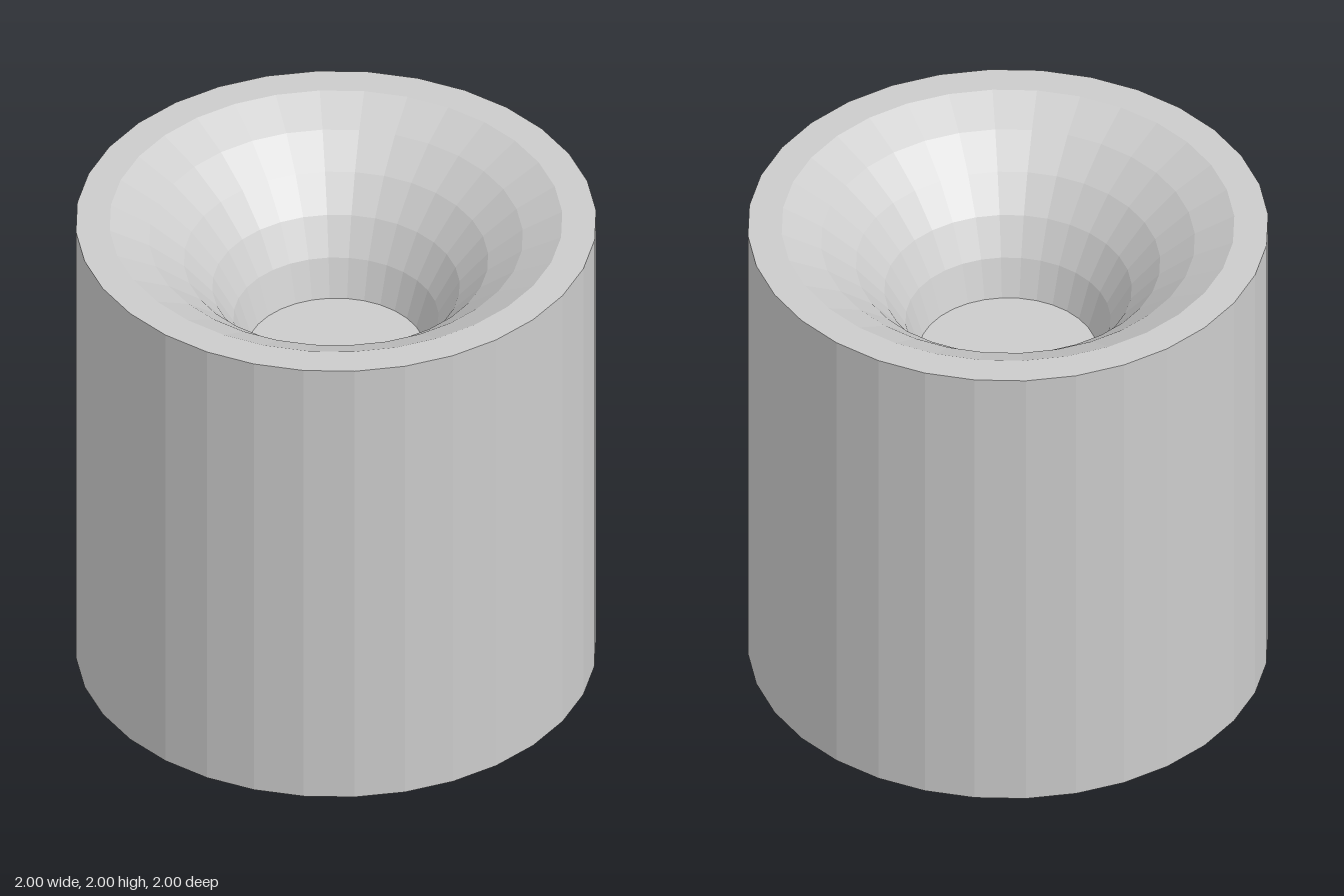
import * as THREE from 'three';

const SIDES = 32;
const HEIGHT = 2;
const RIM_INNER = 0.87;

// Quarter-round funnel profile, from the rim down to the floor
function funnelProfile() {
  const rx = 0.88, ry = 0.83, throat = 0.327, step = Math.PI / 16;
  const topY = ry * Math.sin(6 * step);
  const points = [];
  for (let k = 6; k >= 1; k--) {
    points.push(new THREE.Vector2(
      throat + rx * (1 - Math.cos(k * step)),
      HEIGHT - topY + ry * Math.sin(k * step)
    ));
  }
  points[0].set(RIM_INNER, HEIGHT);
  return points;
}

export function createModel() {
  const group = new THREE.Group();
  const material = new THREE.MeshStandardMaterial({ color: 0xcccccc, flatShading: true });

  const addLathe = (name, points) => {
    const mesh = new THREE.Mesh(new THREE.LatheGeometry(points, SIDES), material);
    mesh.name = name;
    group.add(mesh);
  };

  // Base disc, straight outer wall and flat rim
  addLathe('outerBody', [
    new THREE.Vector2(0, 0),
    new THREE.Vector2(1, 0),
    new THREE.Vector2(1, HEIGHT),
    new THREE.Vector2(RIM_INNER, HEIGHT),
  ]);

  // Flared funnel closed by a flat floor
  const funnel = funnelProfile();
  const floorY = funnel[funnel.length - 1].y;
  addLathe('funnel', [...funnel, new THREE.Vector2(0, floorY)]);

  return group;
}
